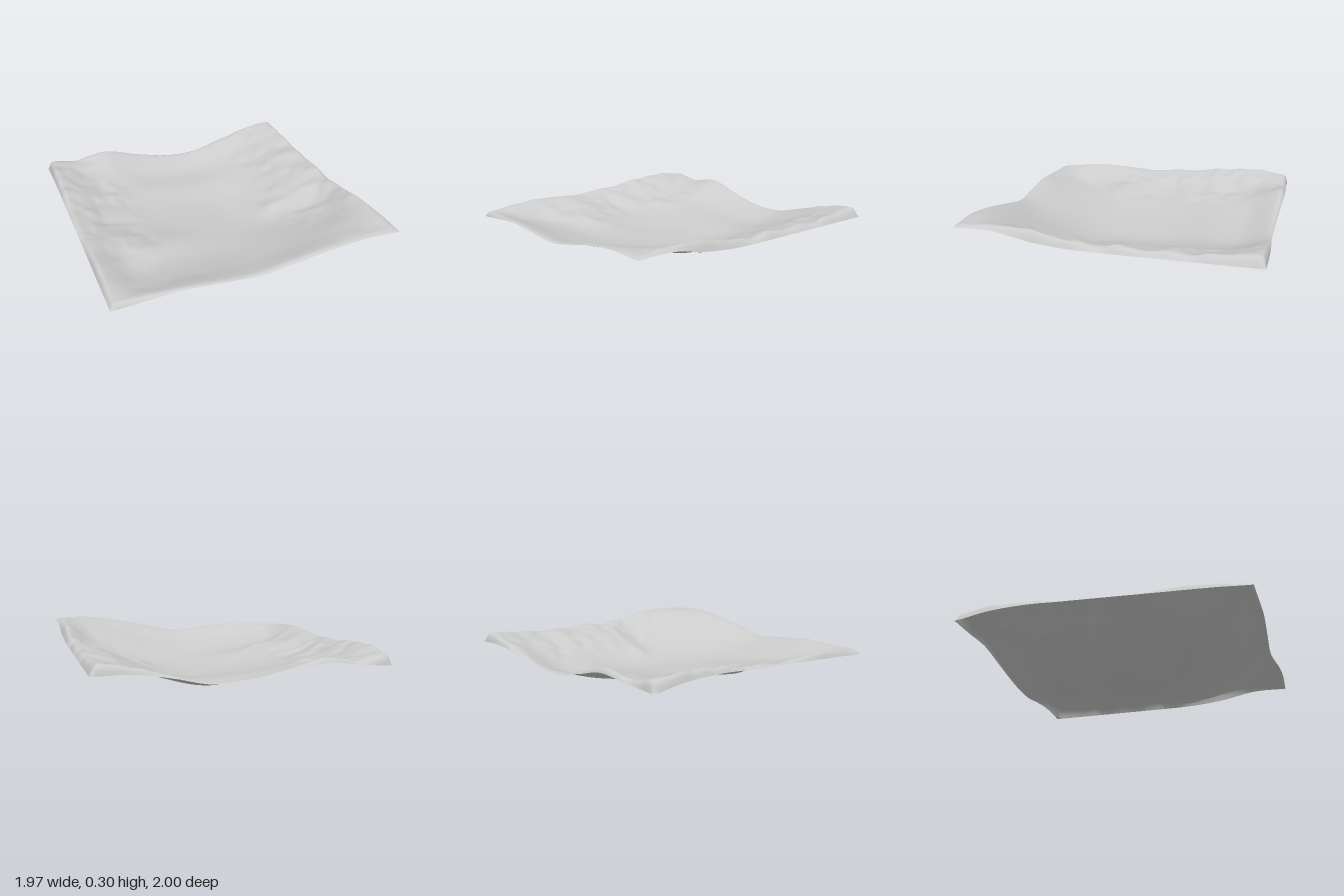
import * as THREE from 'three';

// Height cross-sections, front (z = +1) to back (z = -1), each running left to right in x.
const SECTIONS = [
  [.17, .185, .195, .175, .165, .215, .265, .295, .295],
  [.20, .12, .11, .105, .10, .13, .19, .255, .31],
  [.22, .10, .07, .055, .05, .07, .115, .175, .31],
  [.20, .15, .09, .05, .025, .025, .06, .135, .27],
  [.20, .12, .07, .03, .012, .008, .07, .19, .24],
  [.22, .13, .07, .035, .014, .012, .07, .19, .24],
  [.25, .16, .10, .065, .045, .045, .095, .19, .25],
  [.26, .18, .14, .085, .055, .05, .11, .19, .25],
  [.22, .20, .235, .175, .125, .12, .18, .24, .265],
];

// Border heights: sides run back to front, front and back run left to right
const LEFT = [.155, .19, .2, .19, .18, .17, .16, .15, .135];
const RIGHT = [.2, .2, .2, .2, .2, .205, .23, .278, .278];
const FRONT = [.135, .16, .18, .165, .15, .195, .25, .283, .278];
const BACK = [.155, .175, .2, .15, .105, .105, .16, .2, .2];

// Smooth interpolation through evenly spaced values, t from 0 to 1
function spline(values, t) {
  const f = t * (values.length - 1);
  const i = Math.min(Math.floor(f), values.length - 2), k = f - i;
  const at = (n) => values[Math.max(0, Math.min(values.length - 1, n))];
  const [a, b, c, d] = [at(i - 1), at(i), at(i + 1), at(i + 2)];
  return b + 0.5 * k * (c - a + k * (2 * a - 5 * b + 4 * c - d + k * (3 * (b - c) + d - a)));
}

// Repeatable smooth noise from -1 to 1
function noise(x, z) {
  const hash = (i, j) => {
    const s = Math.sin(i * 127.1 + j * 311.7) * 43758.5453;
    return (s - Math.floor(s)) * 2 - 1;
  };
  const i = Math.floor(x), j = Math.floor(z);
  const u = THREE.MathUtils.smootherstep(x - i, 0, 1);
  const v = THREE.MathUtils.smootherstep(z - j, 0, 1);
  const mix = THREE.MathUtils.lerp;
  return mix(mix(hash(i, j), hash(i + 1, j), u), mix(hash(i, j + 1), hash(i + 1, j + 1), u), v);
}

function height(u, v) {
  const s = (u + 1) / 2, t = (v + 1) / 2;
  let y = spline(SECTIONS.map((row) => spline(row, s)), 1 - t);

  // Rocky gullies on both flanks, calmer towards the front
  const flank = THREE.MathUtils.smoothstep(Math.abs(u), 0.35, 0.7);
  const calm = 1 - 0.75 * THREE.MathUtils.smoothstep(v, 0.25, 0.6);
  const along = u + v * 0.5 * Math.sign(u), across = v - u * 0.5 * Math.sign(u);
  y += flank * calm * (0.014 * noise(along * 3, across * 7) + 0.008 * noise(u * 12, v * 12));

  // Spur running in from the left edge and a knoll on the right flank
  const spur = v - 0.3 - 0.5 * (-0.45 - u);
  y += 0.02 * Math.exp(-((spur / 0.1) ** 2) - ((u + 0.65) / 0.25) ** 2);
  y += 0.02 * Math.exp(-(((u - 0.5) / 0.08) ** 2) - ((v - 0.07) / 0.08) ** 2);

  // Rim rolled down to the border heights along all four sides
  const roll = (edge, profile, at) => {
    const k = Math.max(0, 1 - (1 - edge) / 0.05) ** 2;
    y += (spline(profile, at) - y) * k;
  };
  roll(v, FRONT, s);
  roll(-v, BACK, s);
  roll(u, RIGHT, t);
  roll(-u, LEFT, t);
  return y;
}

export function createModel() {
  const group = new THREE.Group();
  const geometry = new THREE.PlaneGeometry(2, 2, 160, 160).rotateX(-Math.PI / 2);
  const position = geometry.attributes.position;

  for (let i = 0; i < position.count; i++) {
    const u = position.getX(i), v = position.getZ(i);
    const y = height(u, v);
    // Higher parts of the border lean further out
    const x = u * (0.984 + 0.15 * (y - 0.2) * u ** 4 * (u < 0 ? 1 : 0));
    const z = v * ((v > 0 ? 0.972 : 0.998) + 0.3 * (y - 0.2) * v ** 4);
    position.setXYZ(i, x, y, z);
  }
  geometry.computeBoundingBox();
  geometry.translate(0, -geometry.boundingBox.min.y, 0);
  geometry.computeVertexNormals();

  const terrain = new THREE.Mesh(geometry,
    new THREE.MeshStandardMaterial({ color: 0xcccccc, side: THREE.DoubleSide }));
  terrain.name = 'terrain';
  group.add(terrain);
  return group;
}
